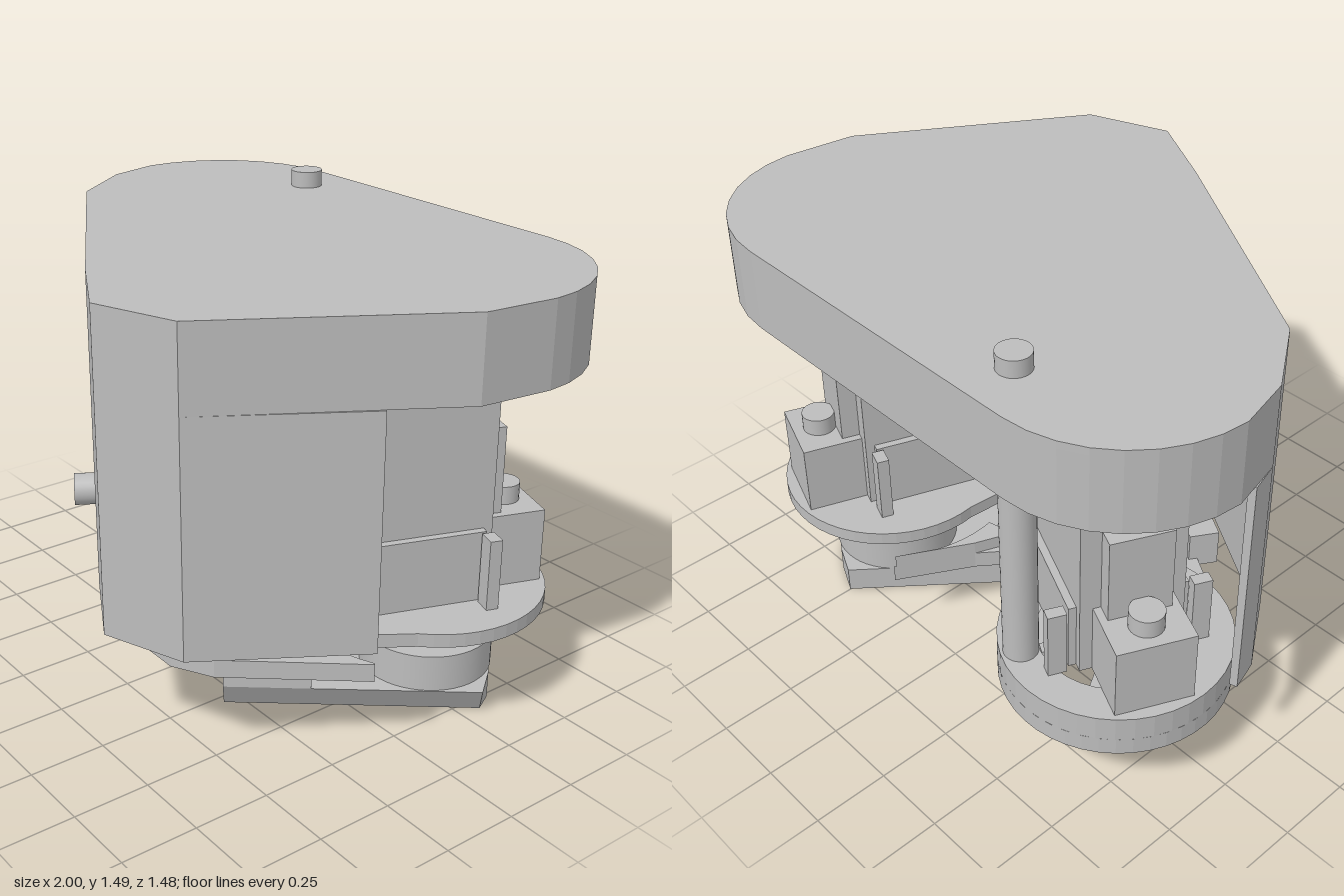
import * as THREE from 'three';

const S1 = [0.56, -0.3];   // elbow shaft (x, z)
const S2 = [-0.56, -0.3];  // shoulder shaft (x, z)

export function createModel() {
  const model = new THREE.Group();
  model.name = 'armJoint';
  const grey = new THREE.MeshStandardMaterial({ color: 0xbdbdbd });
  grey.name = 'lightGrey';

  const add = (parent, name, geo) => {
    const m = new THREE.Mesh(geo, grey);
    m.name = name;
    parent.add(m);
    return m;
  };

  // points along an arc in the ground plane, angles in degrees
  const arc = ([cx, cz], r, a0, a1, n) => {
    const pts = [];
    for (let i = 0; i <= n; i++) {
      const a = THREE.MathUtils.degToRad(a0 + (a1 - a0) * i / n);
      pts.push([cx + r * Math.cos(a), cz + r * Math.sin(a)]);
    }
    return pts;
  };
  const vecs = pts => pts.map(([x, z]) => new THREE.Vector2(x, -z));

  // flat plate with an outline in x, z between two heights
  const slab = (pts, y0, y1, holes = []) => {
    const shape = new THREE.Shape(vecs(pts));
    holes.forEach(h => shape.holes.push(new THREE.Path(vecs(h))));
    return new THREE.ExtrudeGeometry(shape, { depth: y1 - y0, bevelEnabled: false })
      .rotateX(-Math.PI / 2).translate(0, y0, 0);
  };

  // shift a polyline sideways by d with mitred corners
  const offset = (pts, d, closed) => pts.map((p, i) => {
    const n = pts.length;
    const normal = (a, b) => {
      const l = Math.hypot(b[0] - a[0], b[1] - a[1]);
      return [-(b[1] - a[1]) / l, (b[0] - a[0]) / l];
    };
    const hasPrev = closed || i > 0, hasNext = closed || i < n - 1;
    const nb = hasNext ? normal(p, pts[(i + 1) % n]) : null;
    const na = hasPrev ? normal(pts[(i + n - 1) % n], p) : nb;
    const m = nb || na;
    const k = d / (1 + na[0] * m[0] + na[1] * m[1]);
    return [p[0] + (na[0] + m[0]) * k, p[1] + (na[1] + m[1]) * k];
  });

  const cyl = (r, y0, y1, [x, z], n = 32) =>
    new THREE.CylinderGeometry(r, r, y1 - y0, n).translate(x, (y0 + y1) / 2, z);
  const box = (x0, x1, y0, y1, z0, z1) =>
    new THREE.BoxGeometry(x1 - x0, y1 - y0, z1 - z0)
      .translate((x0 + x1) / 2, (y0 + y1) / 2, (z0 + z1) / 2);

  // cover: lid, full rim and a skirt around the front
  const cover = new THREE.Group();
  cover.name = 'cover';
  model.add(cover);
  const front = [[0.54, 0.64], [0.27, 0.74], [0, 0.59], [-0.8, 0.1], [-0.955, -0.12]];
  const outline = [
    ...arc(S1, 0.44, -90, 0, 8), [0.97, -0.06], ...front,
    ...arc(S2, 0.44, 180, 270, 8),
  ];
  add(cover, 'coverLid', slab(outline, 1.405, 1.43));
  add(cover, 'coverRim', slab(outline, 1.16, 1.405, [offset(outline, 0.025, true)]));
  const skirt = [[0.84, 0.165], ...front, [-0.985, -0.22]];
  add(cover, 'coverSkirt', slab([...skirt, ...offset(skirt, 0.025, false).reverse()], 0.4, 1.16));

  // pegs through the lid and the front wall, and the support post
  add(model, 'post', cyl(0.056, 0.38, 1.41, [-0.42, -0.57]));
  add(model, 'topPeg', cyl(0.053, 1.43, 1.485, [-0.42, -0.57]));
  const peg = add(model, 'frontPeg', new THREE.CylinderGeometry(0.055, 0.055, 0.1, 24));
  peg.position.set(-0.465, 0.49, 0.34);
  peg.quaternion.setFromUnitVectors(
    new THREE.Vector3(0, 1, 0), new THREE.Vector3(-0.513, 0, 0.858).normalize());

  // base plate curving around the elbow, with a raised shoulder ring
  const base = [
    ...arc(S2, 0.37, 360, 121, 28).slice(0, -1),
    [-0.75, 0.017], [0.125, 0.54], [0.32, 0.54], [0.45, 0.47], [0.76, 0.1],
    ...arc(S1, 0.44, 64, 218, 22), [0.08, -0.33], [-0.02, -0.2],
  ];
  // the shoulder end is swept the long way round its back
  const back = arc(S2, 0.37, 0, -239, 30);
  const plate = [...back, ...base.slice(28)];
  add(model, 'basePlate', slab(plate, 0.24, 0.3, [arc(S2, 0.21, 0, 350, 35)]));
  add(model, 'shoulderRing',
    slab(arc(S2, 0.37, 0, 351, 39), 0.3, 0.385, [arc(S2, 0.25, 0, 350, 35)]));
  add(model, 'bearingRing',
    slab(arc(S2, 0.29, 0, 351, 39), 0.235, 0.245, [arc(S2, 0.23, 0, 350, 35)]));
  // upright fin on the hooked edge of the base
  const fin = arc(S1, 0.44, 170, 217, 10);
  add(model, 'baseFin', slab([...fin, [0.08, -0.33], [0.03, -0.2]], 0.3, 0.345));
  const tab = add(model, 'coverTab', box(-0.07, 0.07, 0.27, 0.4, -0.05, 0.05));
  tab.position.set(-0.4, 0, 0.25);
  tab.rotation.y = -0.54;

  // motor unit: local +x runs along the body away from the shaft
  const motor = (name, [x, z], dx, dz) => {
    const g = new THREE.Group();
    g.name = name;
    g.position.set(x, 0, z);
    g.rotation.y = Math.atan2(-dz, dx);
    add(g, 'motorBody', box(-0.13, 0.53, 0.385, 1.1, -0.165, 0.165));
    add(g, 'motorLower', box(-0.1, 0.54, 0.385, 0.62, -0.19, 0.19));
    add(g, 'motorConnector', box(-0.19, -0.13, 0.62, 0.92, -0.1, 0.1));
    add(g, 'mountBlock', box(-0.33, -0.13, 0.385, 0.63, -0.125, 0.125));
    add(g, 'mountScrew', cyl(0.055, 0.63, 0.69, [-0.24, 0], 24));
    for (const s of [-1, 1]) {
      add(g, 'sideTab', box(-0.12, -0.08, 0.385, 0.62, s * 0.23 - 0.03, s * 0.23 + 0.03));
      for (const u of [-0.1, 0.5]) add(g, 'topKnob', box(u - 0.03, u + 0.03, 1.1, 1.12, s * 0.13 - 0.03, s * 0.13 + 0.03));
    }
    add(g, 'topBridge', box(-0.12, -0.04, 1.1, 1.115, -0.05, 0.05));
    // toothed drive gear under the motor
    const teeth = [];
    for (let i = 0; i < 48; i++) {
      const a = i / 48 * Math.PI * 2, r = i % 4 < 2 ? 0.062 : 0.05;
      teeth.push([r * Math.cos(a), r * Math.sin(a)]);
    }
    add(g, 'driveGear', slab(teeth, 0.28, 0.39));
    model.add(g);
    return g;
  };
  const elbow = motor('elbowMotor', S1, -0.34, 0.94);
  motor('shoulderMotor', S2, 0.91, 0.42);

  // teardrop deck under the elbow motor
  add(elbow, 'motorDeck', slab([...arc([0, 0], 0.37, 62, 298, 32), [0.6, -0.22], [0.62, 0.2]], 0.34, 0.385));
  add(elbow, 'deckSupport', box(0.46, 0.6, 0.3, 0.34, -0.19, 0.19));
  // horn spokes seen inside the shoulder opening
  for (let i = 0; i < 3; i++) {
    const spoke = add(model, 'hornSpoke', box(-0.24, 0.24, 0.33, 0.36, -0.02, 0.02));
    spoke.position.set(S2[0], 0, S2[1]);
    spoke.rotation.y = i * Math.PI / 3;
  }

  // forearm: local +x runs from the block towards the elbow shaft
  const arm = new THREE.Group();
  arm.name = 'forearm';
  arm.position.set(S1[0], 0, S1[1]);
  arm.rotation.y = Math.atan2(0.773, 0.634);
  model.add(arm);
  const armGeo = slab(
    [[-0.65, -0.215], [-0.65, 0.22], [0.17, 0.22], [0.2, 0.1], [0.21, 0], [0.2, -0.1], [0.17, -0.215]],
    0, 0.09,
    [arc([0, 0], 0.07, 0, 345, 23), arc([-0.54, -0.03], 0.065, 0, 345, 23), arc([-0.52, 0.105], 0.05, 0, 345, 23)]);
  // slope the long outer side inward at the bottom
  const p = armGeo.attributes.position;
  for (let i = 0; i < p.count; i++) {
    if (p.getY(i) < 0.01 && p.getZ(i) > 0.21) p.setZ(i, 0.17);
  }
  armGeo.computeVertexNormals();
  add(arm, 'armPlate', armGeo);
  add(arm, 'armBlock', box(-0.65, -0.37, 0.09, 0.24, -0.135, 0.22));
  add(arm, 'elbowHub', cyl(0.215, 0.09, 0.212, [0, 0], 48));
  add(arm, 'elbowShaft', cyl(0.045, 0.21, 0.3, [0, 0], 24));

  return model;
}
